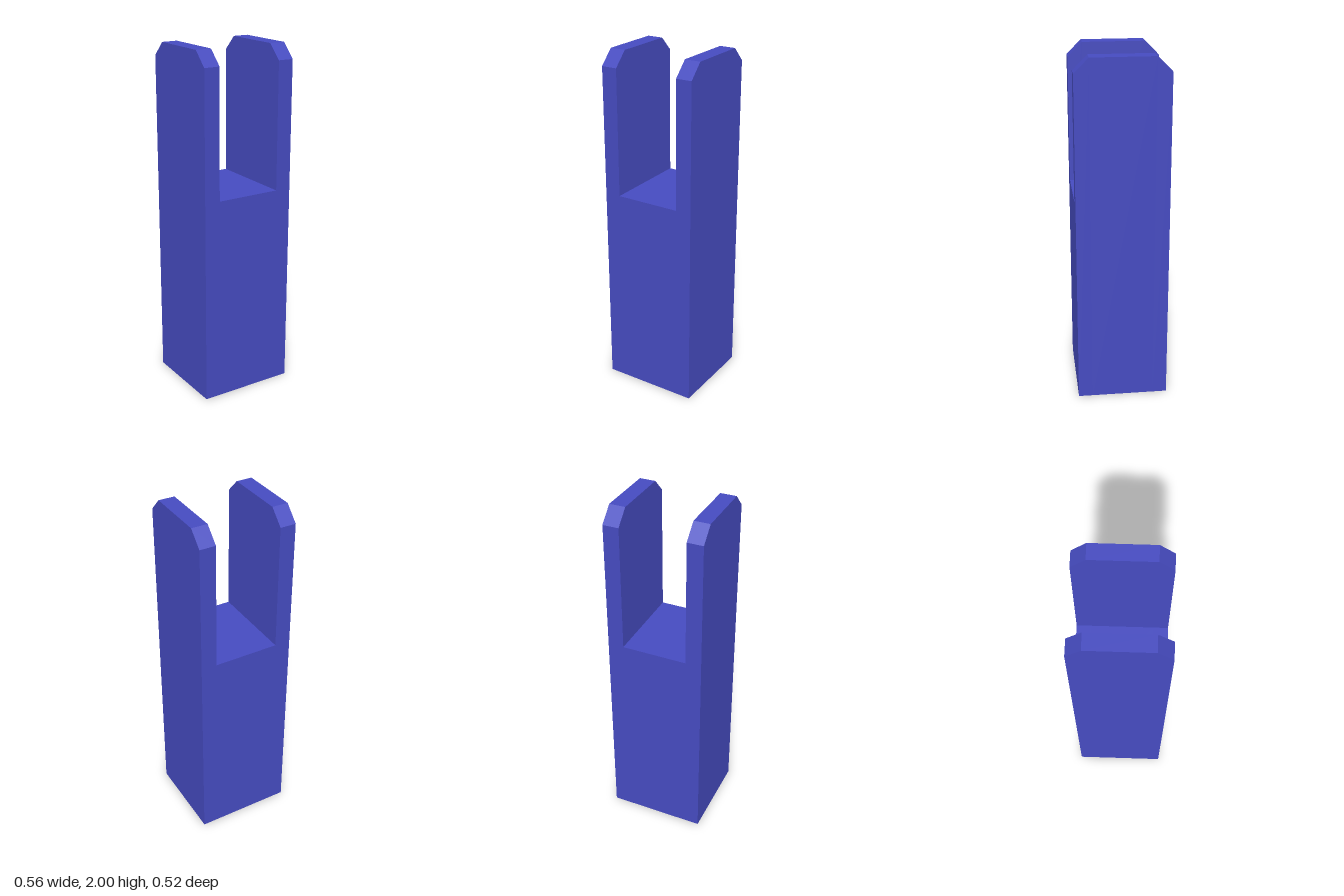
import * as THREE from 'three';

const HALF_W = 0.28, HALF_D = 0.26, HEIGHT = 2;
const SLOT_HALF = 0.188, SLOT_Y = 1.19;
const CHAMFER = 0.082;

export function createModel() {
  const group = new THREE.Group();
  group.name = 'forkedPost';
  const blue = new THREE.MeshStandardMaterial({ color: 0x464bc0 });
  blue.name = 'blue';

  // U-shaped front outline: solid post with a slot between two prongs
  const outline = new THREE.Shape([
    [-HALF_W, 0], [HALF_W, 0], [HALF_W, HEIGHT], [SLOT_HALF, HEIGHT],
    [SLOT_HALF, SLOT_Y], [-SLOT_HALF, SLOT_Y], [-SLOT_HALF, HEIGHT], [-HALF_W, HEIGHT],
  ].map(([x, y]) => new THREE.Vector2(x, y)));

  // Three depth steps give the inner slices that mark the chamfer edges
  const geometry = new THREE.ExtrudeGeometry(outline, { depth: 2 * HALF_D, steps: 3, bevelEnabled: false });
  geometry.translate(0, 0, -HALF_D);

  // Chamfer the prong tips: lower the end slices, push the inner slices outward
  const pos = geometry.attributes.position;
  for (let i = 0; i < pos.count; i++) {
    const z = pos.getZ(i);
    const isEnd = Math.abs(z) > HALF_D * 0.9;
    if (!isEnd) pos.setZ(i, Math.sign(z) * (HALF_D - CHAMFER));
    else if (pos.getY(i) > HEIGHT - 0.001) pos.setY(i, HEIGHT - CHAMFER);
  }
  geometry.computeVertexNormals();

  const post = new THREE.Mesh(geometry, blue);
  post.name = 'slottedPost';
  group.add(post);
  return group;
}
